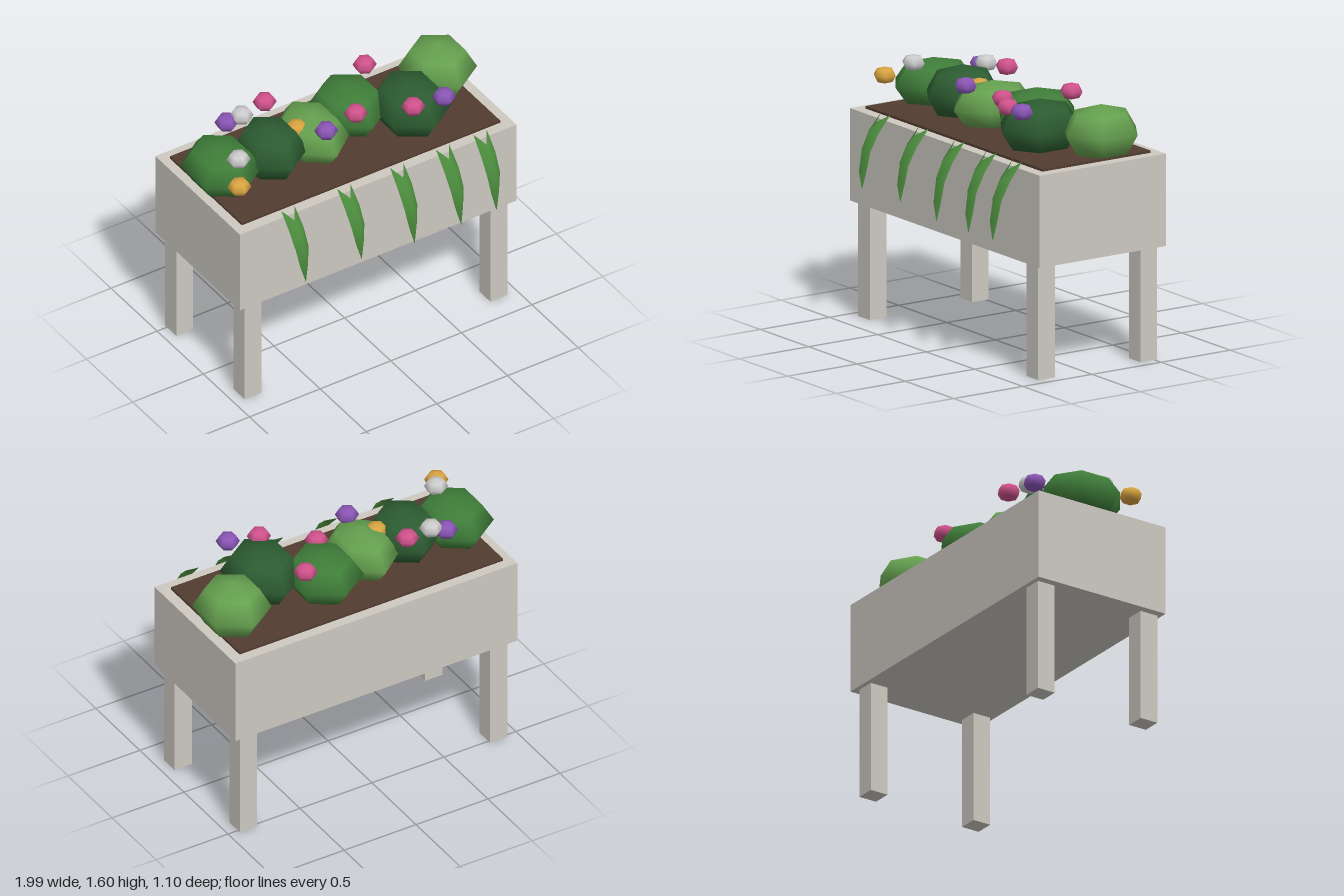
import * as THREE from 'three';

const paint = (color, side = THREE.FrontSide) => new THREE.MeshStandardMaterial({ color, side });

export function createModel() {
  const model = new THREE.Group();
  const add = (name, geometry, material, x, y, z) => {
    const mesh = new THREE.Mesh(geometry, material);
    mesh.name = name;
    mesh.position.set(x, y, z);
    model.add(mesh);
    return mesh;
  };

  // Trough, soil and legs
  const stone = paint(0xcdc9c1);
  add('trough', new THREE.BoxGeometry(1.96, 0.565, 0.915), stone, 0, 0.9825, -0.0925);
  add('soil', new THREE.BoxGeometry(1.83, 0.03, 0.78), paint(0x523c30), -0.005, 1.265, -0.095);
  for (const x of [-0.87, 0.87])
    for (const z of [0.28, -0.46])
      add('leg', new THREE.BoxGeometry(0.12, 0.7, 0.12), stone, x, 0.35, z);

  // Six-sided smooth ball shared by the bushes and the blossoms
  const ball = new THREE.SphereGeometry(1, 6, 4).rotateY(Math.PI / 6);

  // Bushes: x, y, z, radii, green
  const mid = paint(0x3f7d39), dark = paint(0x2c5c31), light = paint(0x65a04f);
  const bushes = [
    [-0.8, 1.395, -0.115, 0.23, 0.15, 0.275, mid],
    [-0.47, 1.405, -0.09, 0.215, 0.17, 0.25, dark],
    [-0.17, 1.39, -0.1, 0.205, 0.15, 0.28, light],
    [0.155, 1.395, -0.195, 0.24, 0.155, 0.265, mid],
    [0.46, 1.405, 0, 0.24, 0.17, 0.275, dark],
    [0.795, 1.41, -0.21, 0.23, 0.17, 0.25, light],
  ];
  for (const [x, y, z, rx, ry, rz, green] of bushes)
    add('bush', ball, green, x, y, z).scale.set(rx, ry, rz);

  // Blossoms: x, y, z, colour
  const gold = paint(0xd9a441), white = paint(0xd8d5d8);
  const purple = paint(0x8a55b5), pink = paint(0xd0528c);
  const blossoms = [
    [-0.87, 1.465, 0.19, gold], [-0.285, 1.48, -0.085, gold],
    [-0.78, 1.54, 0.045, white], [-0.53, 1.54, -0.305, white],
    [-0.62, 1.51, -0.33, purple], [-0.185, 1.53, 0.085, purple], [0.57, 1.545, 0.205, purple],
    [-0.35, 1.55, -0.33, pink], [0.08, 1.495, 0, pink],
    [0.345, 1.55, -0.31, pink], [0.375, 1.53, 0.17, pink],
  ];
  for (const [x, y, z, material] of blossoms)
    add('blossom', ball, material, x, y, z).scale.set(0.072, 0.052, 0.072);

  // Trailing leaves: a strip folded along its spine, arching out and down to a tip
  const edge = [[0.047, 0, 0.35], [0.05, 0.23, 0.44], [0.045, 0.47, 0.498], [0.027, 0.74, 0.515], [0, 1, 0.53]];
  const spine = [[0.1, 0.42], [0.23, 0.48], [0.47, 0.53], [0.74, 0.55], [1, 0.53]];
  const leafGreen = paint(0x4a8a3c, THREE.DoubleSide);
  const leafGeometry = (length, lean) => {
    const points = [], index = [];
    edge.forEach(([w, t, z], i) => {
      const [s, sz] = spine[i];
      points.push(-w + lean * t, -t * length, z, lean * s, -s * length, sz, w + lean * t, -t * length, z);
      if (i === 0) return;
      for (const side of [0, 1]) {
        const a = 3 * (i - 1) + side, b = a + 3;
        index.push(a, b, a + 1, a + 1, b, b + 1);
      }
    });
    const g = new THREE.BufferGeometry();
    g.setAttribute('position', new THREE.Float32BufferAttribute(points, 3));
    g.setIndex(index);
    g.computeVertexNormals();
    return g;
  };
  for (const [x, tip, lean] of [[-0.63, 0.865, 0.01], [-0.235, 0.87, 0.01], [0.14, 0.83, 0.01], [0.465, 0.83, 0.015], [0.73, 0.835, 0]])
    add('trailingLeaf', leafGeometry(1.305 - tip, lean), leafGreen, x, 1.305, 0);

  return model;
}
